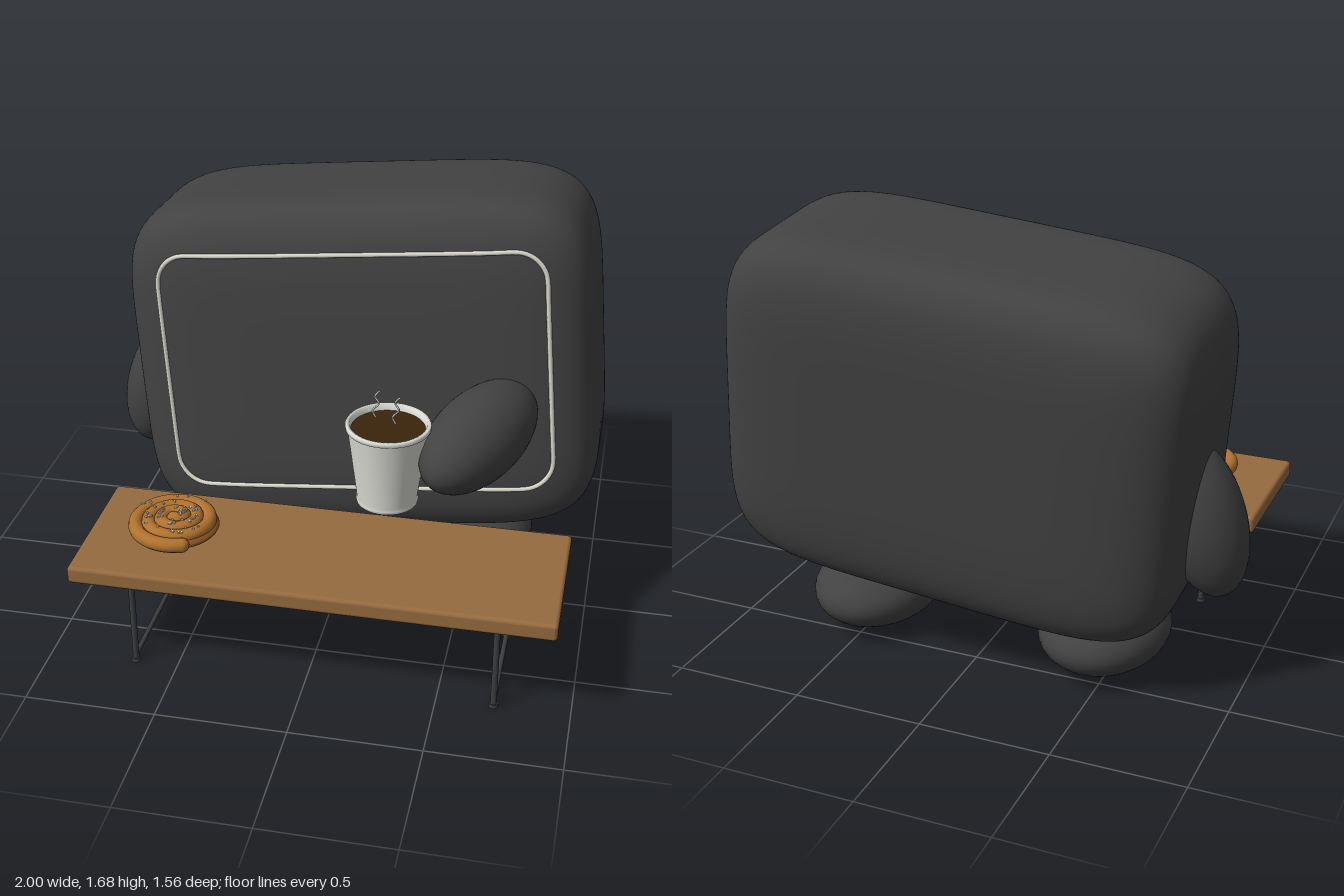
import * as THREE from 'three';
import { mergeVertices } from 'three/addons/utils/BufferGeometryUtils.js';
import { RoundedBoxGeometry } from 'three/addons/geometries/RoundedBoxGeometry.js';

const mat = (name, color, side = THREE.FrontSide) => {
  const m = new THREE.MeshStandardMaterial({ color, side });
  m.name = name;
  return m;
};

export function createModel() {
  const root = new THREE.Group();
  const charcoal = mat('charcoal', 0x424242);
  const cream = mat('cream', 0xd9d7cc);
  const wood = mat('wood', 0x966b40);
  const metal = mat('dark metal', 0x3c3e41);
  const ceramic = mat('cup white', 0xdedfd8, THREE.DoubleSide);
  const coffee = mat('coffee', 0x3a240c);
  const pastry = mat('pastry', 0xb0722f);
  const crust = mat('crust', 0x8a5522);

  const add = (parent, name, geo, material, x = 0, y = 0, z = 0) => {
    const m = new THREE.Mesh(geo, material);
    m.name = name;
    m.position.set(x, y, z);
    parent.add(m);
    return m;
  };
  const group = (name, x = 0, y = 0, z = 0) => {
    const g = new THREE.Group();
    g.name = name;
    g.position.set(x, y, z);
    root.add(g);
    return g;
  };

  // Body: a cube swollen into a soft superellipsoid, tilted and leaning back
  const P = 5.6, A = 0.91, B = 0.68, C = 0.425;
  const body = group('body', 0.065, 0.945, -0.325);
  body.rotation.set(-0.087, 0, 0.096);
  let soft = new THREE.BoxGeometry(2, 2, 2, 44, 44, 44);
  soft.deleteAttribute('normal');
  soft.deleteAttribute('uv');
  soft = mergeVertices(soft);
  const pos = soft.attributes.position;
  for (let i = 0; i < pos.count; i++) {
    const v = new THREE.Vector3().fromBufferAttribute(pos, i);
    const n = (Math.abs(v.x) ** P + Math.abs(v.y) ** P + Math.abs(v.z) ** P) ** (1 / P);
    pos.setXYZ(i, (v.x / n) * A, (v.y / n) * B, (v.z / n) * C);
  }
  soft.computeVertexNormals();
  add(body, 'bodyShell', soft, charcoal);

  // Piping: rounded rectangle laid on the front surface
  const W = 0.745, H = 0.475, R = 0.12, CY = 0.02;
  const outline = new THREE.Shape();
  outline.moveTo(-W + R, -H);
  outline.lineTo(W - R, -H);
  outline.absarc(W - R, -H + R, R, -Math.PI / 2, 0);
  outline.lineTo(W, H - R);
  outline.absarc(W - R, H - R, R, 0, Math.PI / 2);
  outline.lineTo(-W + R, H);
  outline.absarc(-W + R, H - R, R, Math.PI / 2, Math.PI);
  outline.lineTo(-W, -H + R);
  outline.absarc(-W + R, -H + R, R, Math.PI, Math.PI * 1.5);
  const piping = outline.getSpacedPoints(120).slice(0, -1).map(({ x, y }) => {
    const yy = y + CY;
    const k = 1 - Math.abs(x / A) ** P - Math.abs(yy / B) ** P;
    return new THREE.Vector3(x, yy, C * Math.max(k, 0) ** (1 / P) + 0.002);
  });
  add(body, 'frontPiping',
    new THREE.TubeGeometry(new THREE.CatmullRomCurve3(piping, true), 300, 0.009, 8, true), cream);

  // Limbs: ellipsoids with their long axis turned along a direction
  const ellipsoid = (name, c, r, dir) => {
    const m = add(root, name, new THREE.SphereGeometry(1, 40, 28), charcoal, ...c);
    m.scale.set(...r);
    if (dir) {
      m.quaternion.setFromUnitVectors(new THREE.Vector3(0, 1, 0), new THREE.Vector3(...dir).normalize());
    }
  };
  ellipsoid('leftArm', [0.572, 0.9, 0.28], [0.165, 0.32, 0.165], [0.45, 0.13, -1]);
  ellipsoid('rightArm', [-0.822, 0.68, -0.34], [0.16, 0.31, 0.16], [0.3, 0.95, 0]);
  ellipsoid('leftFoot', [0.5, 0.148, -0.312], [0.247, 0.145, 0.312]);
  ellipsoid('rightFoot', [-0.455, 0.148, -0.312], [0.247, 0.145, 0.312]);

  // Bench table
  const table = group('table', 0.025, 0, 0.48);
  add(table, 'tableTop', new RoundedBoxGeometry(1.82, 0.07, 0.6, 3, 0.015), wood, 0, 0.415, 0);
  for (const s of [-1, 1]) {
    const x = s * 0.69;
    for (const z of [-0.22, 0.22]) {
      add(table, 'tableLeg', new THREE.CylinderGeometry(0.012, 0.012, 0.37, 14), metal, x, 0.195, z);
      add(table, 'legPad', new THREE.CylinderGeometry(0.017, 0.019, 0.014, 14), metal, x, 0.007, z);
      add(table, 'legBracket', new THREE.CylinderGeometry(0.024, 0.02, 0.016, 14), metal, x, 0.368, z);
    }
    for (const y of [0.025, 0.365]) {
      const bar = add(table, 'crossBar', new THREE.CylinderGeometry(0.01, 0.01, 0.44, 12), metal, x, y, 0);
      bar.rotation.x = Math.PI / 2;
    }
  }

  // Cup with lip, coffee and steam
  const cup = group('cup', 0.257, 0.672, 0.425);
  const profile = [[0, 0], [0.106, 0], [0.114, 0.006], [0.116, 0.018], [0.112, 0.026], [0.148, 0.305],
    [0.156, 0.31], [0.157, 0.322], [0.152, 0.328], [0.141, 0.326], [0.136, 0.3], [0.105, 0.03], [0, 0.03]];
  add(cup, 'cupShell',
    new THREE.LatheGeometry(profile.map(([x, y]) => new THREE.Vector2(x, y)), 48), ceramic);
  add(cup, 'coffeeSurface', new THREE.CylinderGeometry(0.136, 0.134, 0.008, 48), coffee, 0, 0.3, 0);
  for (const [x, z] of [[-0.05, -0.018], [0.03, 0.018]]) {
    const wisp = [[0, 0.335], [-0.012, 0.36], [0.012, 0.395], [-0.003, 0.42], [0.016, 0.448]]
      .map(([dx, y]) => new THREE.Vector3(x + dx, y, z + dx * 0.3));
    add(cup, 'steam', new THREE.TubeGeometry(new THREE.CatmullRomCurve3(wisp), 24, 0.0035, 6), cream);
  }

  // Spiral bun: coil on a flattened base
  const bun = group('spiralBun', -0.547, 0, 0.48);
  add(bun, 'bunBase', new THREE.SphereGeometry(1, 36, 16), crust, 0, 0.495, 0).scale.set(0.165, 0.035, 0.165);
  const TURNS = 3.1, START = 1.15;
  const coilAt = (t) => {
    const a = START + t * TURNS * Math.PI * 2, r = 0.166 * (1 - t) + 0.014 * t;
    return new THREE.Vector3(r * Math.cos(a), 0.507 + 0.022 * t, r * Math.sin(a));
  };
  const coilPts = Array.from({ length: 80 }, (_, i) => coilAt(i / 79));
  add(bun, 'coil', new THREE.TubeGeometry(new THREE.CatmullRomCurve3(coilPts), 220, 0.028, 12), pastry);
  for (const p of [coilPts[0], coilPts[79]]) {
    add(bun, 'coilEnd', new THREE.SphereGeometry(0.028, 14, 10), pastry, p.x, p.y, p.z);
  }

  // Sugar grains scattered along the coil
  let seed = 7;
  const rand = () => (seed = (seed * 16807) % 2147483647) / 2147483647;
  const grain = new THREE.BoxGeometry(0.009, 0.006, 0.007);
  for (let i = 0; i < 60; i++) {
    const p = coilAt(0.12 + 0.86 * rand()), side = (rand() - 0.5) * 0.03;
    const k = 1 + side / Math.hypot(p.x, p.z);
    const g = add(bun, 'sugarGrain', grain, cream,
      p.x * k, p.y + Math.sqrt(0.028 ** 2 - side ** 2) + 0.001, p.z * k);
    g.rotation.y = rand() * 3;
  }
  return root;
}
